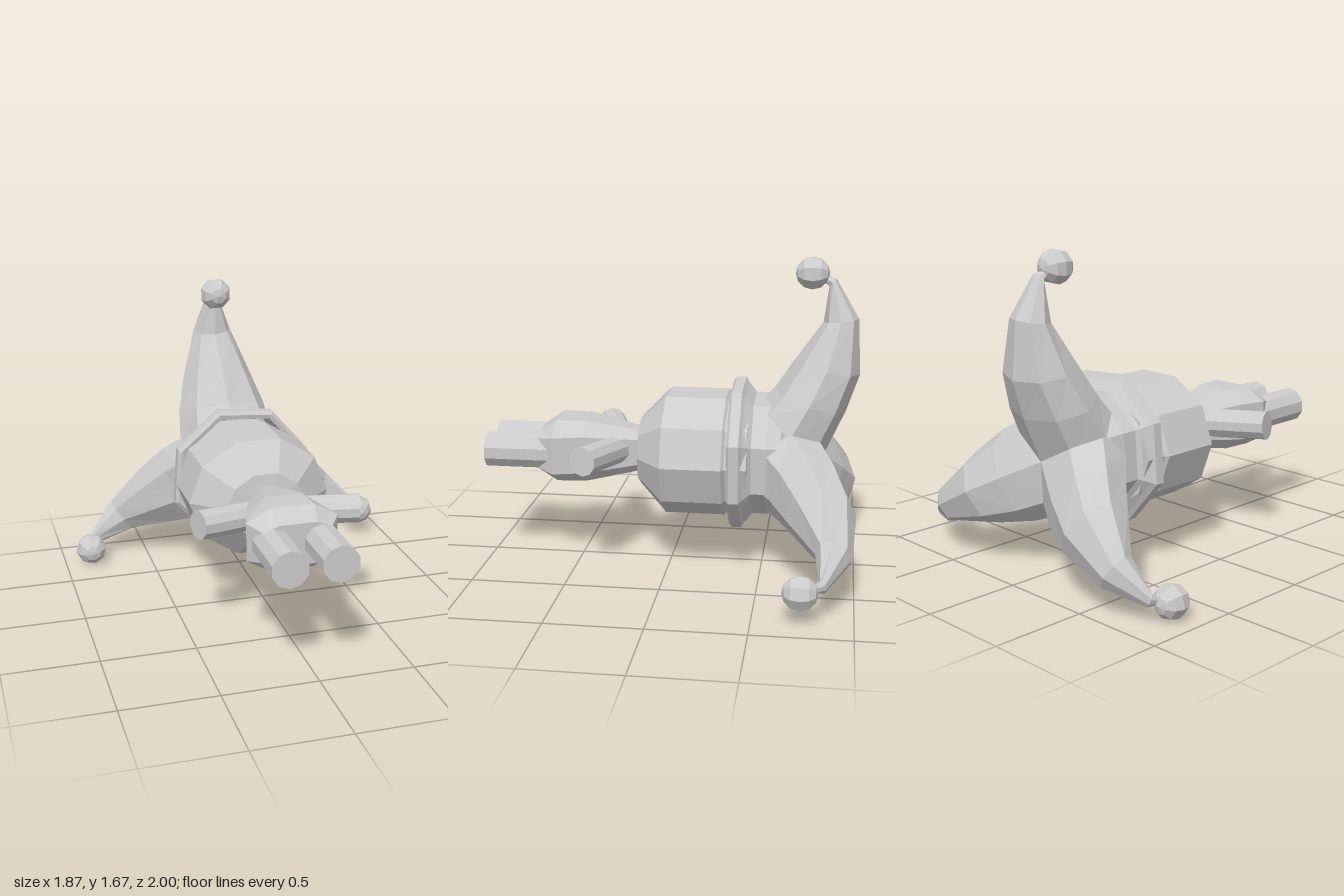
import * as THREE from 'three';

const material = new THREE.MeshStandardMaterial({ color: 0xcccccc, flatShading: true });
const rad = THREE.MathUtils.degToRad;

function part(name, geometry) {
  const mesh = new THREE.Mesh(geometry, material);
  mesh.name = name;
  return mesh;
}

// Closed skin over rings of points, each counterclockwise seen from the far end.
function loft(rings) {
  const n = rings[0].length, pos = [], index = [];
  rings.forEach(ring => ring.forEach(p => pos.push(p.x, p.y, p.z)));
  for (let i = 0; i < rings.length - 1; i++) {
    for (let j = 0; j < n; j++) {
      const k = (j + 1) % n, a = i * n + j, b = i * n + k;
      index.push(a, b, b + n, a, b + n, a + n);
    }
  }
  const last = (rings.length - 1) * n;
  for (let j = 1; j < n - 1; j++) {
    index.push(0, j + 1, j, last, last + j, last + j + 1);
  }
  const g = new THREE.BufferGeometry();
  g.setAttribute('position', new THREE.Float32BufferAttribute(pos, 3));
  g.setIndex(index);
  g.computeVertexNormals();
  return g;
}

// Lathe around the z axis from [radius, z] pairs, back to front.
function turned(profile, sides, turn) {
  return new THREE.LatheGeometry(profile.map(p => new THREE.Vector2(...p)), sides)
    .rotateX(Math.PI / 2).rotateZ(rad(turn));
}

// Straight limb between two points.
function limb(name, from, to, radius) {
  const a = new THREE.Vector3(...from), b = new THREE.Vector3(...to);
  const mesh = part(name, new THREE.CylinderGeometry(radius, radius, a.distanceTo(b), 10));
  mesh.position.copy(a).add(b).multiplyScalar(0.5);
  mesh.quaternion.setFromUnitVectors(new THREE.Vector3(0, 1, 0), b.sub(a).normalize());
  return mesh;
}

// Curved hat point with a bell; stations hold front [y, z], back [y, z], half width.
function hatHorn() {
  const stations = [
    [0.29, -0.48, -0.02, -0.81, 0.28],
    [0.36, -0.55, 0.24, -0.93, 0.255],
    [0.51, -0.65, 0.445, -1.0, 0.2],
    [0.72, -0.8, 0.74, -0.985, 0.11],
    [0.91, -0.825, 0.95, -0.86, 0.04],
    [0.94, -0.78, 0.97, -0.79, 0.015],
  ];
  const rings = stations.map(([fy, fz, by, bz, w]) =>
    Array.from({ length: 8 }, (_, j) => {
      const t = j * Math.PI / 4, c = Math.cos(t) / 2;
      return new THREE.Vector3(Math.sin(t) * w,
        (fy + by) / 2 + c * (fy - by), (fz + bz) / 2 + c * (fz - bz));
    }));
  const horn = new THREE.Group();
  horn.name = 'hatPoint';
  const bell = part('bell', new THREE.SphereGeometry(0.09, 8, 6).rotateX(Math.PI / 2).rotateZ(rad(22.5)));
  bell.position.set(0, 0.975, -0.737);
  horn.add(part('hatHorn', loft(rings)), bell);
  return horn;
}

export function createModel() {
  const model = new THREE.Group();
  model.name = 'jesterFigure';
  const figure = new THREE.Group();
  figure.name = 'figure';
  figure.position.set(-0.025, 0.62, 0);
  model.add(figure);

  // Ten-sided head, slightly flattened, with a blunt chin
  const head = turned([[0, -0.43], [0.37, -0.43], [0.37, -0.315], [0.39, -0.3],
    [0.39, 0.02], [0.215, 0.165], [0, 0.19]], 10, 18).scale(1, 0.87, 1);
  figure.add(part('head', head));

  // Hat crown and its raised, hollow brim
  figure.add(part('hatBrim', turned([[0, -0.8], [0.31, -0.6], [0.33, -0.53], [0.33, -0.45],
    [0.385, -0.405], [0.41, -0.39], [0.41, -0.34], [0.39, -0.325], [0.365, -0.33],
    [0.335, -0.42], [0, -0.42]], 8, 18.5)));

  // Three hat points
  for (let k = 0; k < 3; k++) {
    const horn = hatHorn();
    horn.rotation.z = rad(2.4 + 120 * k);
    figure.add(horn);
  }

  // Torso: eight-cornered sections [z, half width, top half width, side half height, half height]
  const torso = [
    [0.1, 0.09, 0.045, 0.06, 0.1],
    [0.18, 0.1, 0.05, 0.07, 0.115],
    [0.46, 0.195, 0.1, 0.1, 0.17],
    [0.62, 0.24, 0.115, 0.1, 0.17],
    [0.715, 0.18, 0.1, 0.08, 0.11],
  ].map(([z, w, tw, sh, h]) =>
    [[w, -sh], [w, sh], [tw, h], [-tw, h], [-w, sh], [-w, -sh], [-tw, -h], [tw, -h]]
      .map(([x, y]) => new THREE.Vector3(x, y, z)));
  figure.add(part('torso', loft(torso)));

  // Arms and legs
  for (const [side, s] of [['left', 1], ['right', -1]]) {
    figure.add(limb(side + 'Arm', [s * 0.05, 0.01, 0.28], [s * 0.435, 0.035, 0.415], 0.078));
    figure.add(limb(side + 'Leg', [s * 0.128, 0, 0.55], [s * 0.128, 0, 1], 0.097));
  }
  return model;
}
